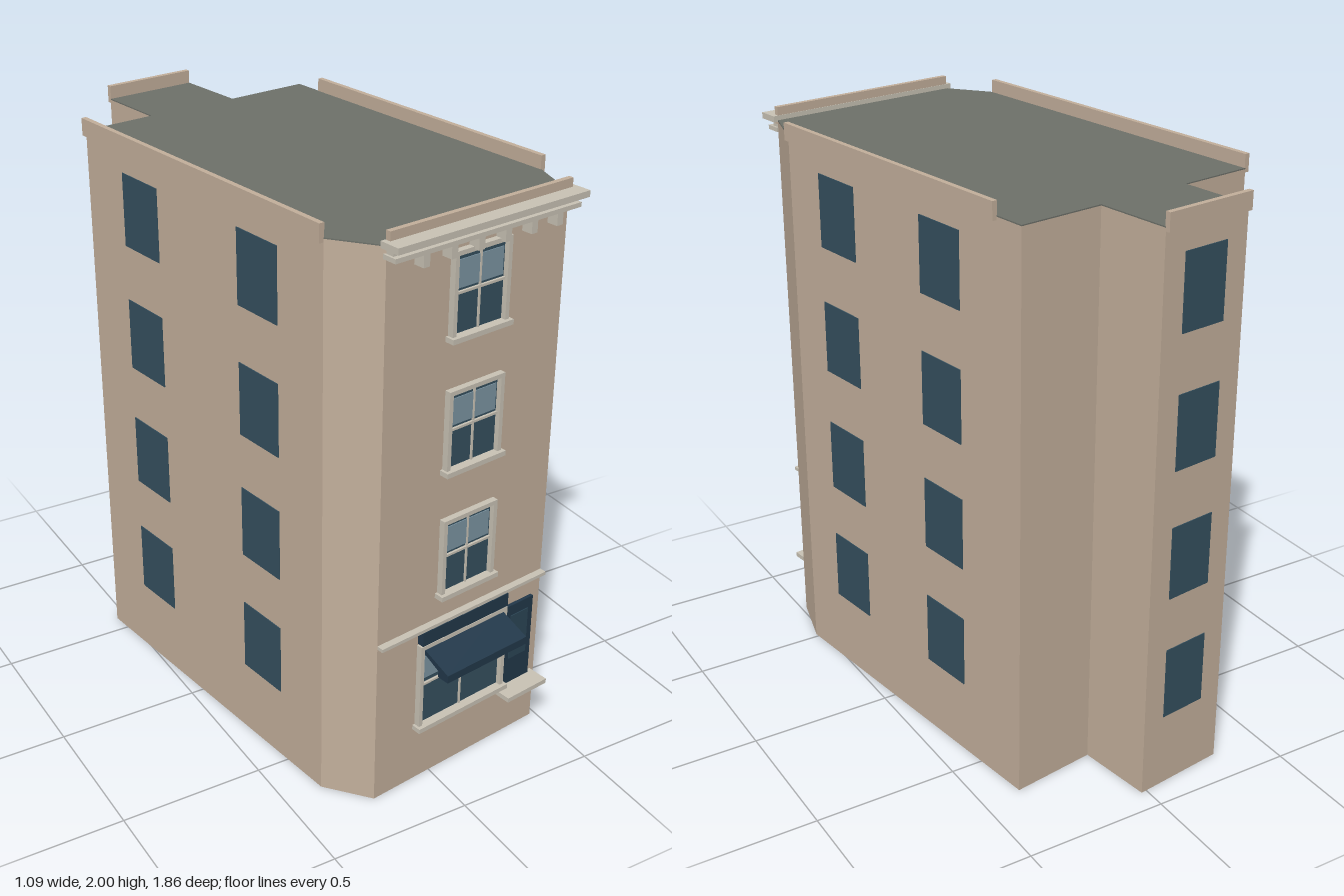
import * as THREE from 'three';

const mat = (color) => new THREE.MeshStandardMaterial({ color, flatShading: true });
const WALL = mat(0xc4b09c), ROOF = mat(0x6e716a), TRIM = mat(0xcac4b6);
const GLASS = mat(0x35505f), BLIND = mat(0x7c95a3), DARK = mat(0x22384a), PANEL = mat(0x2b4656);

// Footprint corners [x, z], anticlockwise seen from above, starting at the front
const PLAN = [
  [-0.24, 0.82], [0.48, 0.715], [0.53, 0.515], [0.36, -0.70], [0.06, -0.655],
  [0.02, -0.92], [-0.312, -0.873], [-0.275, -0.615], [-0.535, -0.575], [-0.36, 0.68],
];
const H = 1.955;
const FLOORS = [0.265, 0.71, 1.16, 1.61]; // sill heights
const WIN_H = 0.255;

// Box given by its ranges along a wall (x), in height (y) and out of the wall (z)
function block(parent, name, material, [x0, x1], [y0, y1], [z0, z1]) {
  const m = new THREE.Mesh(new THREE.BoxGeometry(x1 - x0, y1 - y0, z1 - z0), material);
  m.position.set((x0 + x1) / 2, (y0 + y1) / 2, (z0 + z1) / 2);
  m.name = name;
  parent.add(m);
  return m;
}

// Group whose x runs along the wall from p to q and whose z points outward
function wallFrame(name, p, q) {
  const g = new THREE.Group();
  const dx = q[0] - p[0], dz = q[1] - p[1];
  g.name = name;
  g.position.set(p[0], 0, p[1]);
  g.rotation.y = Math.atan2(-dz, dx);
  g.userData.length = Math.hypot(dx, dz);
  return g;
}

// Prism over the footprint
function slab(name, material, y0, y1) {
  const shape = new THREE.Shape(PLAN.map(([x, z]) => new THREE.Vector2(x, -z)));
  const geo = new THREE.ExtrudeGeometry(shape, { depth: y1 - y0, bevelEnabled: false });
  geo.rotateX(-Math.PI / 2);
  const m = new THREE.Mesh(geo, material);
  m.position.y = y0;
  m.name = name;
  return m;
}

function parapet(wall) {
  block(wall, 'parapet', WALL, [0, wall.userData.length], [1.94, 2], [-0.003, 0.015]);
}

// Plain flush windows on every floor, centred at the given fractions of the wall
function plainWindows(wall, fractions, width) {
  for (const f of fractions) for (const y of FLOORS) {
    const c = f * wall.userData.length;
    block(wall, 'sideWindow', GLASS, [c - width / 2, c + width / 2], [y, y + WIN_H], [-0.01, 0.003]);
  }
}

// Framed window with centre bar, meeting rail, blind and sill
function framedWindow(wall, name, c, hw, y0, y1, blind) {
  const g = new THREE.Group();
  g.name = name;
  wall.add(g);
  const t = 0.015, mid = (y0 + y1) / 2 + 0.005;
  block(g, 'glass', GLASS, [c - hw, c + hw], [y0, y1], [-0.01, 0.004]);
  block(g, 'blind', BLIND, [c - hw + 0.006, c + hw - 0.006], blind, [0, 0.007]);
  for (const s of [-1, 1]) {
    const a = c + s * hw, b = c + s * (hw + t);
    block(g, 'frameSide', TRIM, [Math.min(a, b), Math.max(a, b)], [y0, y1], [-0.01, 0.022]);
  }
  block(g, 'frameTop', TRIM, [c - hw - t, c + hw + t], [y1, y1 + t], [-0.01, 0.022]);
  block(g, 'meetingRail', TRIM, [c - hw, c + hw], [mid - 0.004, mid + 0.004], [0, 0.012]);
  block(g, 'centreBar', TRIM, [c - 0.003, c + 0.003], [y0, y1], [0, 0.01]);
  block(g, 'sill', TRIM, [c - hw - 0.024, c + hw + 0.024], [y0 - 0.017, y0], [-0.01, 0.035]);
}

function shopFront(wall, c) {
  framedWindow(wall, 'shopWindow', c, 0.178, 0.225, 0.525, [0.4, 0.485]);
  block(wall, 'fascia', DARK, [c - 0.19, c + 0.19], [0.545, 0.595], [-0.01, 0.025]);

  // Awning: sloping board with a short drop at its front edge
  const side = new THREE.Shape([
    [0.005, 0.515], [0.005, 0.53], [0.13, 0.483], [0.13, 0.455], [0.085, 0.455], [0.085, 0.478],
  ].map(([x, y]) => new THREE.Vector2(x, y)));
  const geo = new THREE.ExtrudeGeometry(side, { depth: 0.352, bevelEnabled: false });
  geo.rotateY(-Math.PI / 2);
  const awning = new THREE.Mesh(geo, DARK);
  awning.name = 'awning';
  awning.position.x = c + 0.176;
  wall.add(awning);

  // Door and step
  block(wall, 'door', DARK, [0.562, 0.688], [0.205, 0.525], [-0.01, 0.012]);
  block(wall, 'doorPanel', PANEL, [0.585, 0.665], [0.31, 0.485], [0, 0.015]);
  block(wall, 'doorStep', TRIM, [0.528, 0.71], [0.19, 0.207], [-0.01, 0.08]);
}

function cornice(wall) {
  const L = wall.userData.length;
  block(wall, 'corniceTop', TRIM, [-0.018, L + 0.018], [1.95, 1.971], [-0.005, 0.07]);
  block(wall, 'corniceLower', TRIM, [-0.008, L + 0.008], [1.915, 1.93], [-0.005, 0.048]);
  block(wall, 'corniceBack', TRIM, [0, L], [1.93, 1.95], [-0.005, 0.03]);
  for (let i = 0; i < 6; i++) {
    const x = 0.118 + i * 0.1075;
    block(wall, 'bracket', TRIM, [x - 0.012, x + 0.012], [1.872, 1.915], [-0.005, 0.04]);
  }
}

export function createModel() {
  const model = new THREE.Group();
  model.name = 'cornerBuilding';
  model.add(slab('walls', WALL, 0, H - 0.004), slab('roof', ROOF, H - 0.004, H));

  // Street front
  const front = wallFrame('front', PLAN[0], PLAN[1]);
  const c = front.userData.length / 2;
  for (const y of FLOORS.slice(1)) framedWindow(front, 'sashWindow', c, 0.1, y, y + WIN_H, [y + 0.145, y + 0.235]);
  block(front, 'stringCourse', TRIM, [0, front.userData.length], [0.598, 0.61], [-0.005, 0.025]);
  shopFront(front, c);
  cornice(front);

  // Side walls and the rear wing
  const left = wallFrame('leftWall', PLAN[2], [0.376, -0.588]);
  const right = wallFrame('rightWall', PLAN[8], PLAN[9]);
  const rear = wallFrame('rearWing', PLAN[5], PLAN[6]);
  plainWindows(left, [0.25, 0.75], 0.2);
  plainWindows(right, [0.25, 0.75], 0.2);
  plainWindows(rear, [0.5], 0.17);

  for (const wall of [front, left, right, rear]) {
    parapet(wall);
    model.add(wall);
  }
  return model;
}
